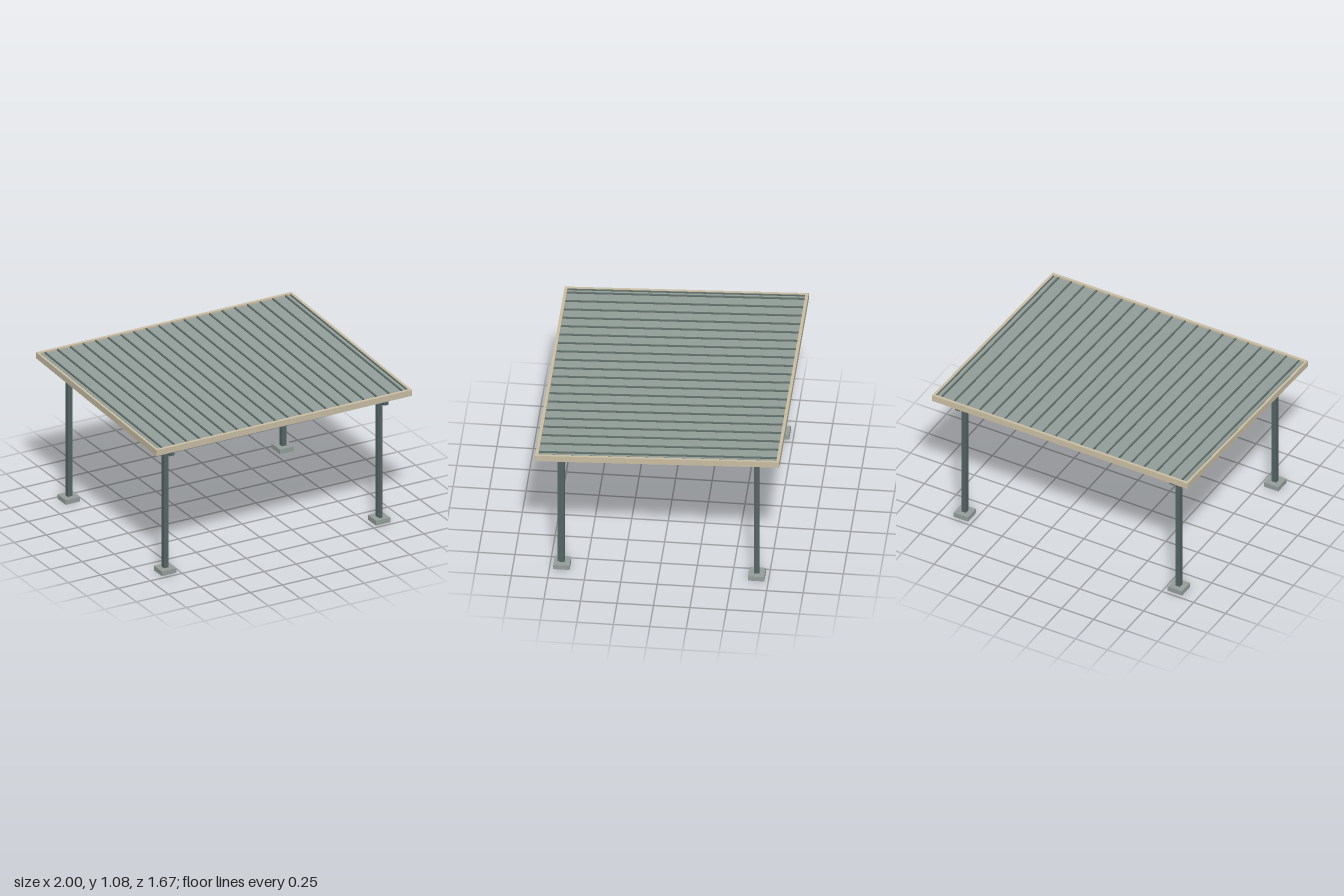
import * as THREE from 'three';

const material = (name, color) => {
  const m = new THREE.MeshStandardMaterial({ color });
  m.name = name;
  return m;
};

export function createModel() {
  const steel = material('dark steel', 0x546564);
  const sheet = material('grey roof sheet', 0x939e99);
  const seam = material('dark seam', 0x61706b);
  const trim = material('beige trim', 0xcabfa5);
  const concrete = material('concrete', 0x959e9b);

  const model = new THREE.Group();
  model.name = 'carport';

  const box = (parent, name, mat, size, pos) => {
    const mesh = new THREE.Mesh(new THREE.BoxGeometry(...size), mat);
    mesh.name = name;
    mesh.position.set(...pos);
    parent.add(mesh);
  };

  const slope = 0.039;
  const footingHeight = 0.035;

  // Posts on square footings, reaching into the sloping rafters
  for (const x of [-0.838, 0.838]) {
    for (const z of [-0.667, 0.667]) {
      const top = 0.955 - slope * z;
      box(model, 'footing', concrete, [0.112, footingHeight, 0.112], [x, footingHeight / 2, z]);
      box(model, 'post', steel, [0.035, top - footingHeight, 0.035], [x, (top + footingHeight) / 2, z]);
    }
  }

  // Slim downpipe on the front of one post
  box(model, 'downpipe', steel, [0.02, 0.935, 0.014], [0.835, 0.5025, 0.691]);

  // Everything above the posts shares the slope, low at the front
  const roof = new THREE.Group();
  roof.name = 'slopingRoof';
  roof.rotation.x = Math.atan(slope);
  roof.position.y = 1.025;
  model.add(roof);

  // Rafters run front to back, purlins run across
  for (const x of [-0.838, 0.838]) box(roof, 'rafter', steel, [0.035, 0.053, 1.535], [x, -0.062, 0]);
  for (const z of [-0.725, 0, 0.725]) box(roof, 'purlin', steel, [1.79, 0.058, 0.034], [0, -0.031, z]);

  // Thin roof sheet, recessed inside the fascia, with standing seams
  box(roof, 'roofSheet', sheet, [1.964, 0.012, 1.634], [0, 0.004, 0]);
  const seamCount = 20;
  for (let i = 0; i < seamCount; i++) {
    const x = (i - (seamCount - 1) / 2) * 0.099;
    box(roof, 'seam', seam, [0.01, 0.01, 1.63], [x, 0.015, 0]);
  }

  // Fascia boards around the edge, with a narrow flashing beside the side boards
  for (const side of [-1, 1]) {
    box(roof, 'sideFascia', trim, [0.018, 0.045, 1.674], [side * 0.991, 0, 0]);
    box(roof, 'endFascia', trim, [1.964, 0.045, 0.021], [0, 0, side * 0.8265]);
    box(roof, 'edgeFlashing', seam, [0.006, 0.009, 1.628], [side * 0.979, 0.0145, 0]);
  }

  return model;
}
